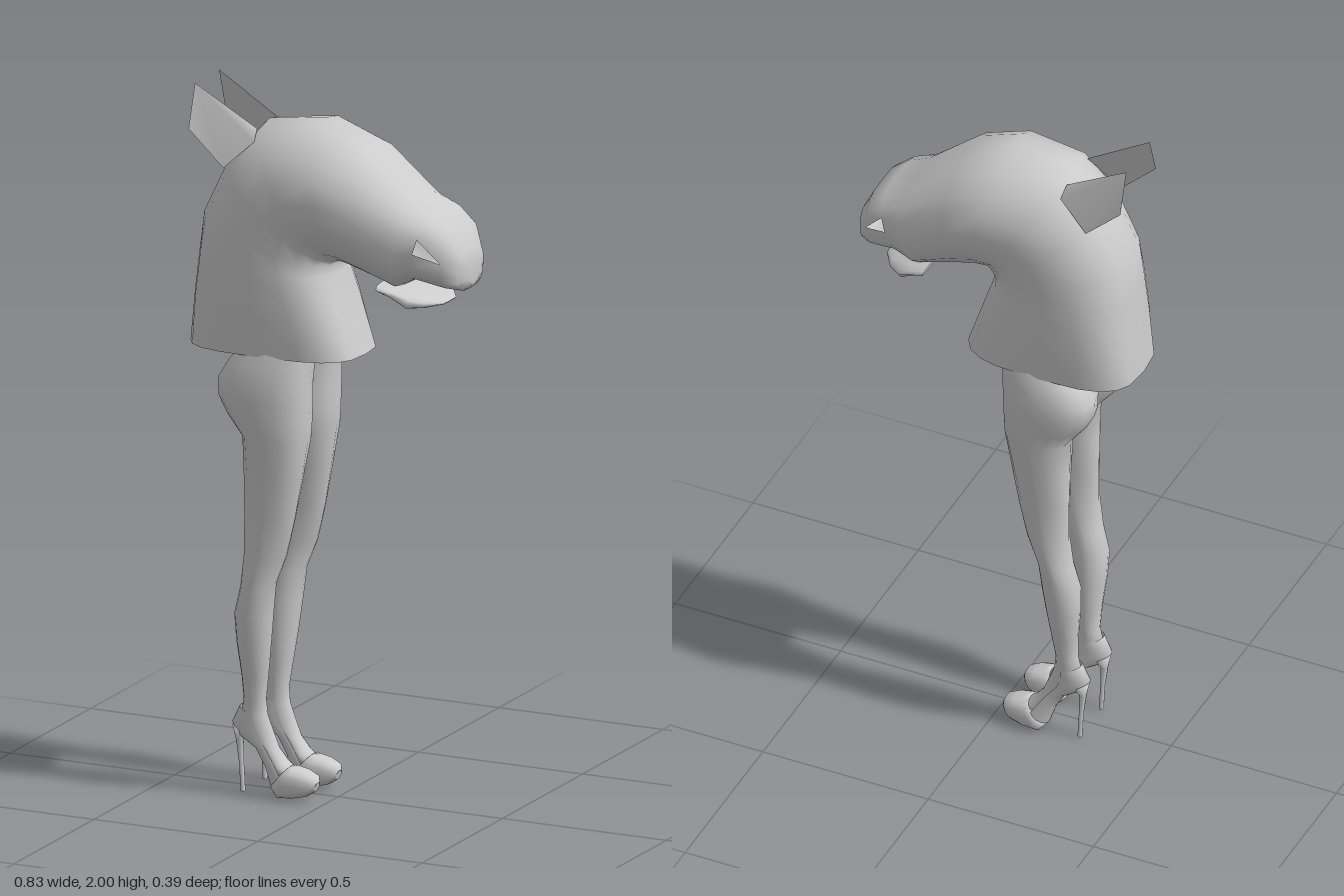
import * as THREE from 'three';

const material = new THREE.MeshStandardMaterial({ color: 0xcccccc, side: THREE.DoubleSide });

// Superellipse power that keeps the sign
const pow = (v, e) => Math.sign(v) * Math.pow(Math.abs(v), e);

// Skin over rings [ax, ay, bx, by, halfWidth, zCentre, squareness].
// A and B are the back/upper and front/lower ends of a ring in the side plane.
// arc < PI leaves the skin open around the B end; hole(j, i) opens half a cell.
function loft(name, rings, { n = 16, arc = Math.PI, side = 1, hole = () => 0, caps = true } = {}) {
  const closed = arc === Math.PI;
  const m = closed ? n : n + 1;
  const pos = [], idx = [];
  for (const [ax, ay, bx, by, w, zc = 0, e = 1] of rings) {
    for (let i = 0; i < m; i++) {
      const t = Math.PI - arc + (2 * arc * i) / n;
      const c = pow(Math.cos(t), e) / 2, s = pow(Math.sin(t), e);
      pos.push((ax + bx) / 2 + c * (bx - ax), (ay + by) / 2 + c * (by - ay), side * zc + s * w);
    }
  }
  for (let j = 0; j < rings.length - 1; j++) {
    for (let i = 0; i < n; i++) {
      const k = (i + 1) % m;
      const a = j * m + i, b = a + m, c = (j + 1) * m + k, d = j * m + k;
      const h = hole(j, i);
      if (h === 1) idx.push(b, c, d);
      else if (h === 2) idx.push(a, b, c);
      else idx.push(a, b, c, a, c, d);
    }
  }
  // Close the last ring with a fan
  if (closed && caps) {
    const last = (rings.length - 1) * m;
    for (let i = 1; i < m - 1; i++) idx.push(last, last + i + 1, last + i);
  }
  return mesh(name, pos, idx);
}

function mesh(name, pos, idx) {
  const g = new THREE.BufferGeometry();
  g.setAttribute('position', new THREE.Float32BufferAttribute(pos, 3));
  g.setIndex(idx);
  g.computeVertexNormals();
  const part = new THREE.Mesh(g, material);
  part.name = name;
  return part;
}

function createHead() {
  const head = new THREE.Group();
  head.name = 'horseHead';

  // Open hem, neck, cheeks, then the upper muzzle
  const rings = [
    [-0.42, 1.27, 0.085, 1.27, 0.16, 0, 0.62],
    [-0.405, 1.41, 0.035, 1.42, 0.17, 0, 0.65],
    [-0.395, 1.53, 0.01, 1.5, 0.17, 0, 0.75],
    [-0.385, 1.64, 0.01, 1.525, 0.172, 0, 0.85],
    [-0.31, 1.8, 0.015, 1.53, 0.178, 0, 0.9],
    [-0.21, 1.905, 0.025, 1.535, 0.187, 0, 1],
    [-0.03, 1.93, 0.05, 1.53, 0.197, 0, 1.05],
    [0.11, 1.875, 0.11, 1.515, 0.182, 0, 0.95],
    [0.26, 1.745, 0.215, 1.487, 0.157, 0, 0.8],
    [0.325, 1.71, 0.27, 1.522, 0.148, 0, 0.7],
    [0.372, 1.675, 0.365, 1.502, 0.118, 0, 0.65],
    [0.405, 1.61, 0.402, 1.497, 0.08, 0, 0.65],
    [0.413, 1.575, 0.413, 1.515, 0.04, 0, 0.7],
  ];
  // Triangular nostril opening on each side
  const hole = (j, i) => (j === 9 && i === 5 ? 1 : j === 9 && i === 14 ? 2 : 0);
  head.add(loft('headAndNeck', rings, { n: 20, hole }));

  // Thin lower jaw, rounded in plan
  head.add(loft('lowerJaw', [
    [0.18, 1.515, 0.19, 1.487, 0.145, 0, 0.7],
    [0.235, 1.5, 0.22, 1.475, 0.142, 0, 0.7],
    [0.275, 1.488, 0.257, 1.438, 0.125, 0, 0.8],
    [0.31, 1.472, 0.3, 1.443, 0.095, 0, 0.8],
    [0.343, 1.457, 0.338, 1.45, 0.04, 0, 0.9],
  ]));

  // Ears: flat pointed sheets
  for (const s of [1, -1]) {
    const p = [
      [-0.4, 2.0, 0.075], [-0.4, 1.88, 0.115], [-0.295, 1.78, 0.113],
      [-0.21, 1.86, 0.095], [-0.215, 1.89, 0.065],
    ];
    const pos = p.flatMap(([x, y, z]) => [x, y, s * z]);
    head.add(mesh(s > 0 ? 'leftEar' : 'rightEar', pos,
      s > 0 ? [0, 1, 2, 0, 2, 3, 0, 3, 4] : [0, 2, 1, 0, 3, 2, 0, 4, 3]));
  }
  return head;
}

function createLeg(side) {
  const leg = new THREE.Group();
  leg.name = side > 0 ? 'leftLeg' : 'rightLeg';

  // Foot, calf, knee, thigh, buttock and hip, from the toes upward
  leg.add(loft('legSkin', [
    [-0.12, 0.05, -0.1, 0.085, 0.036, 0.068],
    [-0.15, 0.06, -0.125, 0.105, 0.036, 0.068],
    [-0.2, 0.135, -0.148, 0.135, 0.03, 0.068],
    [-0.245, 0.175, -0.165, 0.18, 0.03, 0.069],
    [-0.262, 0.215, -0.182, 0.225, 0.03, 0.07],
    [-0.25, 0.27, -0.187, 0.27, 0.03, 0.071],
    [-0.253, 0.34, -0.178, 0.34, 0.036, 0.077],
    [-0.263, 0.44, -0.166, 0.44, 0.048, 0.086],
    [-0.266, 0.52, -0.157, 0.52, 0.053, 0.092],
    [-0.245, 0.6, -0.147, 0.61, 0.052, 0.096],
    [-0.236, 0.69, -0.113, 0.69, 0.048, 0.097],
    [-0.236, 0.8, -0.086, 0.8, 0.047, 0.096],
    [-0.237, 0.92, -0.065, 0.92, 0.064, 0.093],
    [-0.238, 1.03, -0.048, 1.03, 0.08, 0.09, 0.9],
    [-0.285, 1.09, -0.045, 1.08, 0.088, 0.089, 0.9],
    [-0.31, 1.14, -0.044, 1.14, 0.091, 0.09, 0.85],
    [-0.312, 1.19, -0.043, 1.19, 0.091, 0.09, 0.85],
    [-0.28, 1.245, -0.04, 1.245, 0.086, 0.085, 0.85],
    [-0.24, 1.29, -0.038, 1.29, 0.078, 0.078, 0.85],
    [-0.22, 1.34, -0.04, 1.34, 0.07, 0.07, 0.85],
  ], { side }));

  // Shoe: closed toe box with platform, open sides, heel cup
  leg.add(loft('shoeToe', [
    [-0.035, 0.028, -0.028, 0.055, 0.018, 0.068],
    [-0.06, 0.012, -0.035, 0.072, 0.037, 0.068, 0.8],
    [-0.1, 0.003, -0.065, 0.085, 0.046, 0.068, 0.75],
    [-0.145, 0.0, -0.09, 0.09, 0.047, 0.068, 0.75],
    [-0.165, 0.025, -0.105, 0.095, 0.044, 0.068, 0.85],
  ], { side }));
  leg.add(loft('shoeSides', [
    [-0.163, 0.022, -0.105, 0.097, 0.045, 0.068],
    [-0.185, 0.085, -0.125, 0.112, 0.039, 0.068],
    [-0.215, 0.135, -0.148, 0.142, 0.035, 0.068],
    [-0.265, 0.165, -0.162, 0.18, 0.034, 0.069],
    [-0.287, 0.2, -0.172, 0.205, 0.033, 0.07],
    [-0.262, 0.25, -0.182, 0.22, 0.032, 0.071],
  ], { side, arc: 1.85 }));
  leg.add(loft('shoeToeTip', [
    [-0.037, 0.03, -0.032, 0.05, 0.01, 0.068],
    [-0.035, 0.028, -0.028, 0.055, 0.018, 0.068],
  ], { side }));

  // Stiletto heel
  leg.add(loft('stilettoHeel', [
    [-0.263, 0.003, -0.25, 0.003, 0.008, 0.069],
    [-0.267, 0.08, -0.254, 0.08, 0.008, 0.069],
    [-0.276, 0.15, -0.256, 0.15, 0.014, 0.069],
    [-0.286, 0.195, -0.235, 0.17, 0.026, 0.069],
  ], { side, n: 10 }));
  return leg;
}

export function createModel() {
  const model = new THREE.Group();
  model.name = 'horseHeadOnLegs';
  model.add(createHead(), createLeg(1), createLeg(-1));
  return model;
}
